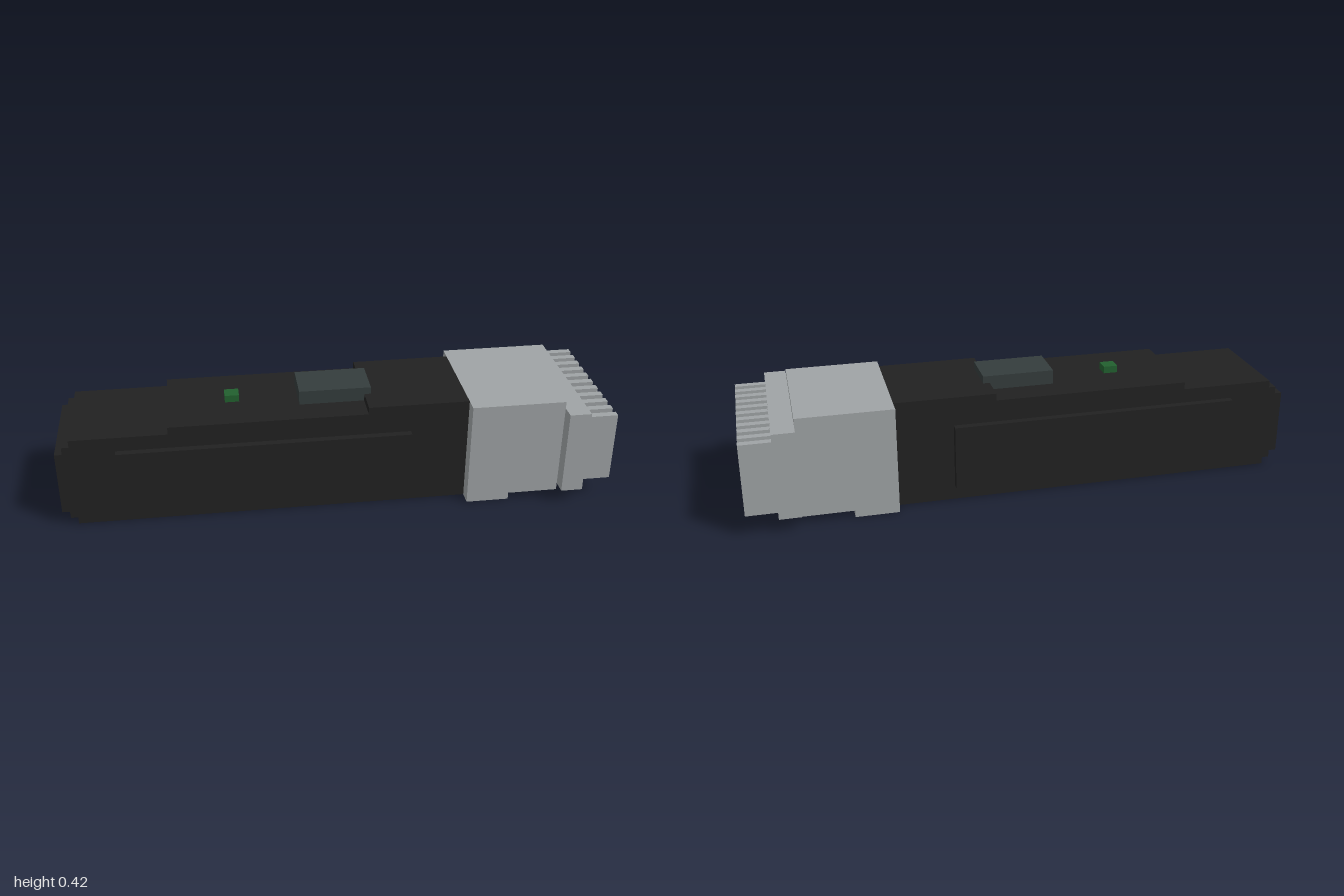
import * as THREE from 'three';

const material = (name, color) => {
  const m = new THREE.MeshStandardMaterial({ color });
  m.name = name;
  return m;
};

export function createModel() {
  const model = new THREE.Group();
  model.name = 'handheldDevice';
  const black = material('black', 0x212121);
  const grey = material('lightGrey', 0x9fa3a5);
  const slate = material('darkSlate', 0x343c3c);
  const green = material('green', 0x22602f);

  // Box given by its limits along each axis
  const box = (name, mat, [x0, x1], [y0, y1], [z0, z1]) => {
    const mesh = new THREE.Mesh(new THREE.BoxGeometry(x1 - x0, y1 - y0, z1 - z0), mat);
    mesh.name = name;
    mesh.position.set((x0 + x1) / 2, (y0 + y1) / 2, (z0 + z1) / 2);
    model.add(mesh);
  };

  // Side outline extruded across the width
  const slab = (name, mat, points, halfWidth) => {
    const shape = new THREE.Shape(points.map(([x, y]) => new THREE.Vector2(x, y)));
    const geometry = new THREE.ExtrudeGeometry(shape, { depth: halfWidth * 2, bevelEnabled: false });
    const mesh = new THREE.Mesh(geometry, mat);
    mesh.name = name;
    mesh.position.z = -halfWidth;
    model.add(mesh);
  };

  // Handle with stepped top and stepped butt end
  slab('handle', black, [
    [-0.947, 0], [0.47, 0], [0.47, 0.396], [0.105, 0.396], [0.105, 0.37],
    [-0.605, 0.37], [-0.605, 0.343], [-0.947, 0.343], [-0.947, 0.317],
    [-0.973, 0.317], [-0.973, 0.29], [-1, 0.29], [-1, 0.053],
    [-0.973, 0.053], [-0.973, 0.026], [-0.947, 0.026],
  ], 0.185);

  // Raised grip panels on both sides
  for (const side of [-1, 1]) {
    const z = [0.185 * side, 0.211 * side].sort((a, b) => a - b);
    box(side > 0 ? 'frontGrip' : 'backGrip', black, [-0.79, 0.26], [0.053, 0.29], z);
  }

  // Switch and indicator light
  box('switch', slate, [-0.132, 0.129], [0.37, 0.422], [-0.079, 0.079]);
  box('indicatorLight', green, [-0.397, -0.345], [0.37, 0.396], [-0.026, 0.026]);

  // Head with a step underneath
  slab('head', grey, [
    [0.47, 0], [0.627, 0], [0.627, 0.026], [0.811, 0.026], [0.811, 0.396], [0.47, 0.396],
  ], 0.237);
  box('bladeBase', grey, [0.811, 0.89], [0.053, 0.37], [-0.29, 0.29]);

  // Row of comb teeth
  for (let i = 0; i < 11; i++) {
    const z = 0.264 - i * 0.0527;
    box('tooth' + (i + 1), grey, [0.89, 1], [0.08, 0.343], [z - 0.0264, z]);
  }
  return model;
}
